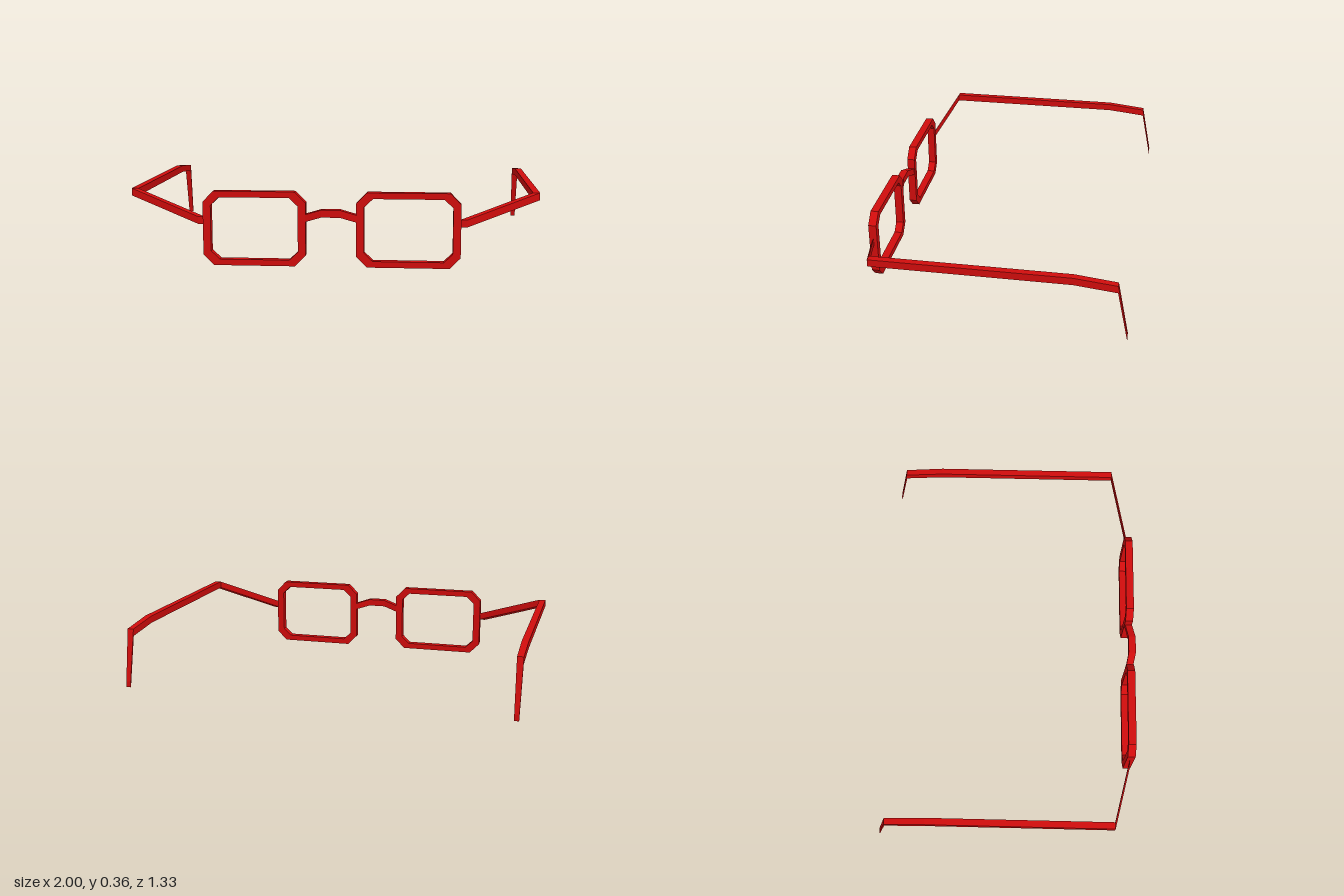
import * as THREE from 'three';

const red = new THREE.MeshStandardMaterial({ color: 0xd00c0c });
red.name = 'red';

// Joins rectangular sections [x, y, z, halfWidth, halfHeight]; the width runs along `across` ('x' or 'z').
function loft(sections, across) {
  const rings = sections.map(([x, y, z, w, h]) =>
    [[-1, -1], [1, -1], [1, 1], [-1, 1]].map(([u, v]) =>
      across === 'x' ? [x + u * w, y + v * h, z] : [x, y + v * h, z + u * w]));
  const pos = [];
  const quad = (a, b, c, d) => pos.push(...a, ...b, ...c, ...a, ...c, ...d);
  for (let i = 0; i < rings.length - 1; i++) {
    const a = rings[i], b = rings[i + 1];
    for (let j = 0; j < 4; j++) {
      const k = (j + 1) % 4;
      quad(a[j], b[j], b[k], a[k]);
    }
  }
  quad(...rings[0]);
  quad(...[...rings[rings.length - 1]].reverse());
  const g = new THREE.BufferGeometry();
  g.setAttribute('position', new THREE.Float32BufferAttribute(pos, 3));
  g.computeVertexNormals();
  return g;
}

// Rectangle with cut corners, centred on the origin
function cutRect(w, h, cx, cy) {
  return [
    [-w + cx, -h], [w - cx, -h], [w, -h + cy], [w, h - cy],
    [w - cx, h], [-w + cx, h], [-w, h - cy], [-w, -h + cy],
  ].map(([x, y]) => new THREE.Vector2(x, y));
}

export function createModel() {
  const model = new THREE.Group();
  model.name = 'eyeglasses';
  const add = (name, geometry) => {
    const mesh = new THREE.Mesh(geometry, red);
    mesh.name = name;
    model.add(mesh);
    return mesh;
  };

  // Octagonal rim around an open lens
  const rimShape = new THREE.Shape(cutRect(0.25, 0.182, 0.052, 0.053));
  rimShape.holes.push(new THREE.Path(cutRect(0.212, 0.152, 0.042, 0.04).reverse()));
  const rim = new THREE.ExtrudeGeometry(rimShape, { depth: 0.04, bevelEnabled: false });

  for (const [side, s] of [['left', 1], ['right', -1]]) {
    add(side + 'Rim', rim).position.set(s * 0.372, 0.182, 0.608);

    // Arm: hinge strut, straight temple, then the drooping ear hook
    add(side + 'Arm', loft([
      [s * 0.633, 0.217, 0.628, 0.017, 0.018],
      [s * 0.983, 0.339, 0.537, 0.017, 0.018],
      [s * 0.983, 0.339, -0.41, 0.017, 0.018],
      [s * 0.983, 0.317, -0.612, 0.016, 0.018],
      [s * 0.983, 0.056, -0.665, 0.012, 0.015],
    ], 'x'));
  }

  // Bridge arching up and forward over the nose
  add('bridge', loft([
    [-0.135, 0.233, 0.628, 0.018, 0.018],
    [-0.045, 0.262, 0.645, 0.019, 0.018],
    [0.045, 0.262, 0.645, 0.019, 0.018],
    [0.135, 0.233, 0.628, 0.018, 0.018],
  ], 'z'));

  return model;
}
